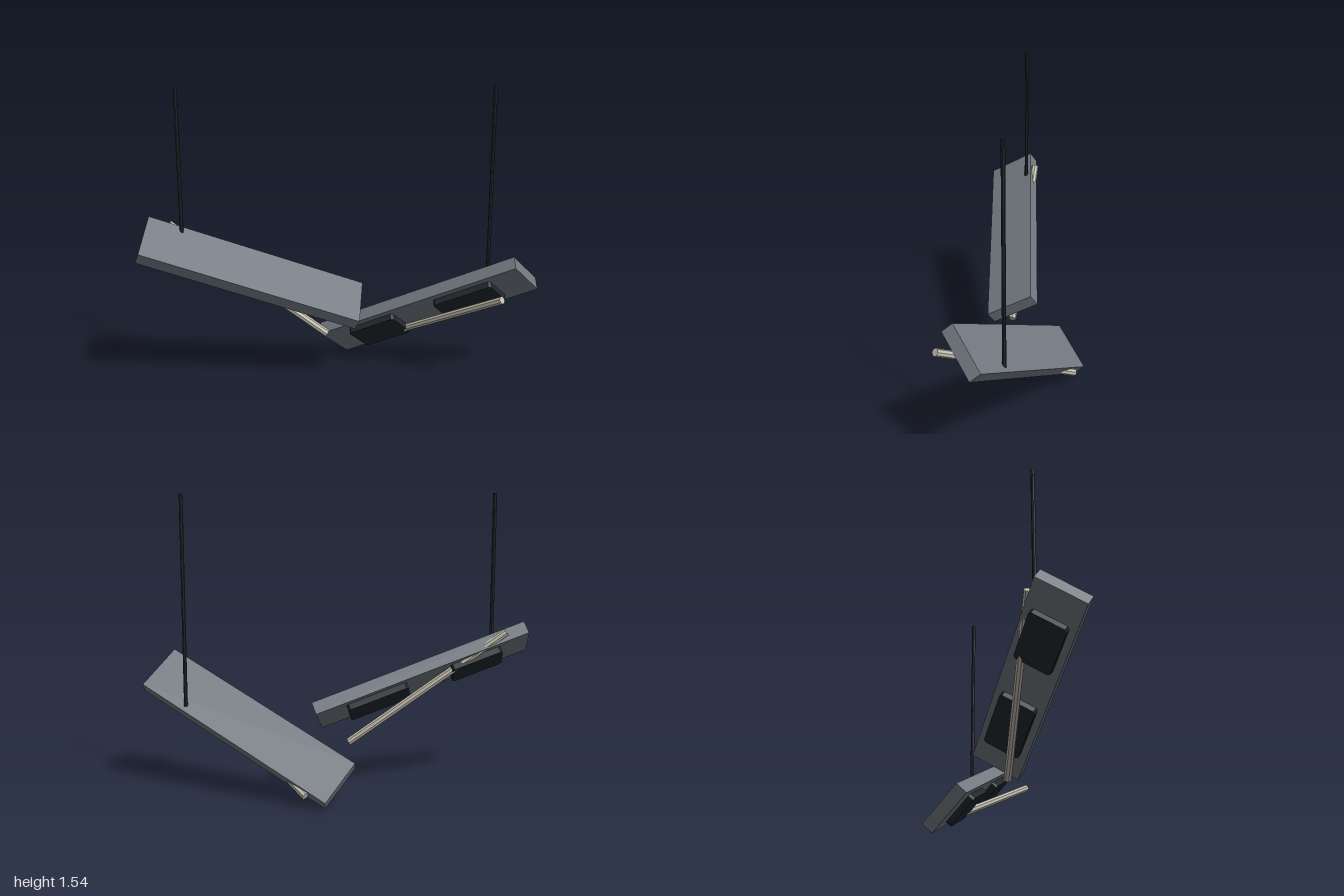
import * as THREE from 'three';

const slate = new THREE.MeshStandardMaterial({ color: 0x737a81, flatShading: true });
slate.name = 'slate grey';
const charcoal = new THREE.MeshStandardMaterial({ color: 0x22292d, flatShading: true });
charcoal.name = 'charcoal';
const cream = new THREE.MeshStandardMaterial({ color: 0xc6c0b2, flatShading: true });
cream.name = 'warm cream';

const V = (x, y, z) => new THREE.Vector3(x, y, z);
const LENGTH = 1.162, WIDTH = 0.262, THICK = 0.067;

// Straight bar between two points
function bar(name, a, b, radius, sides, material) {
  const dir = b.clone().sub(a);
  const mesh = new THREE.Mesh(new THREE.CylinderGeometry(radius, radius, dir.length(), sides), material);
  mesh.name = name;
  mesh.position.copy(a).add(b).multiplyScalar(0.5);
  mesh.quaternion.setFromUnitVectors(V(0, 1, 0), dir.normalize());
  return mesh;
}

// Dark pad with clipped corners, raised from the underside of the slab
function pad(name, x0, x1) {
  const h = 0.095, c = 0.012;
  const shape = new THREE.Shape([
    [x0 + c, -h], [x1 - c, -h], [x1, -h + c], [x1, h - c],
    [x1 - c, h], [x0 + c, h], [x0, h - c], [x0, -h + c],
  ].map(([x, y]) => new THREE.Vector2(x, y)));
  const geo = new THREE.ExtrudeGeometry(shape, { depth: 0.037, bevelEnabled: false });
  const mesh = new THREE.Mesh(geo, charcoal);
  mesh.name = name;
  mesh.position.z = THICK / 2 - 0.005;
  return mesh;
}

// Slab with two pads and a slanted pole; local x = length, y = width, z = underside
function panel(name, center, along, across) {
  const group = new THREE.Group();
  group.name = name;
  const slab = new THREE.Mesh(new THREE.BoxGeometry(LENGTH, WIDTH, THICK), slate);
  slab.name = 'slab';
  group.add(slab, pad('shortPad', -0.425, -0.15), pad('longPad', 0.09, 0.42));
  group.add(bar('slantedPole', V(-0.473, -0.146, -0.008), V(0.475, 0.104, 0.164), 0.02, 8, cream));

  const x = along.normalize();
  const z = x.clone().cross(across).normalize();
  const y = z.clone().cross(x);
  group.quaternion.setFromRotationMatrix(new THREE.Matrix4().makeBasis(x, y, z));
  group.position.copy(center);
  return group;
}

export function createModel() {
  const model = new THREE.Group();
  model.name = 'hangingPanels';

  // Two tilted panels
  model.add(panel('leftPanel', V(0.43, 0.36, -0.102), V(1, 0.505, 0.31), V(-0.135, 0.16, 0.158)));
  model.add(panel('rightPanel', V(-0.451, 0.601, 0.12), V(1.065, -0.405, -0.22), V(0, -0.13, 0.23)));

  // Vertical hanging rods
  model.add(bar('leftHangingRod', V(0.75, 0.455, -0.1), V(0.75, 1.542, -0.1), 0.01, 8, charcoal));
  model.add(bar('rightHangingRod', V(-0.807, 0.81, 0.122), V(-0.807, 1.542, 0.122), 0.01, 8, charcoal));
  return model;
}
